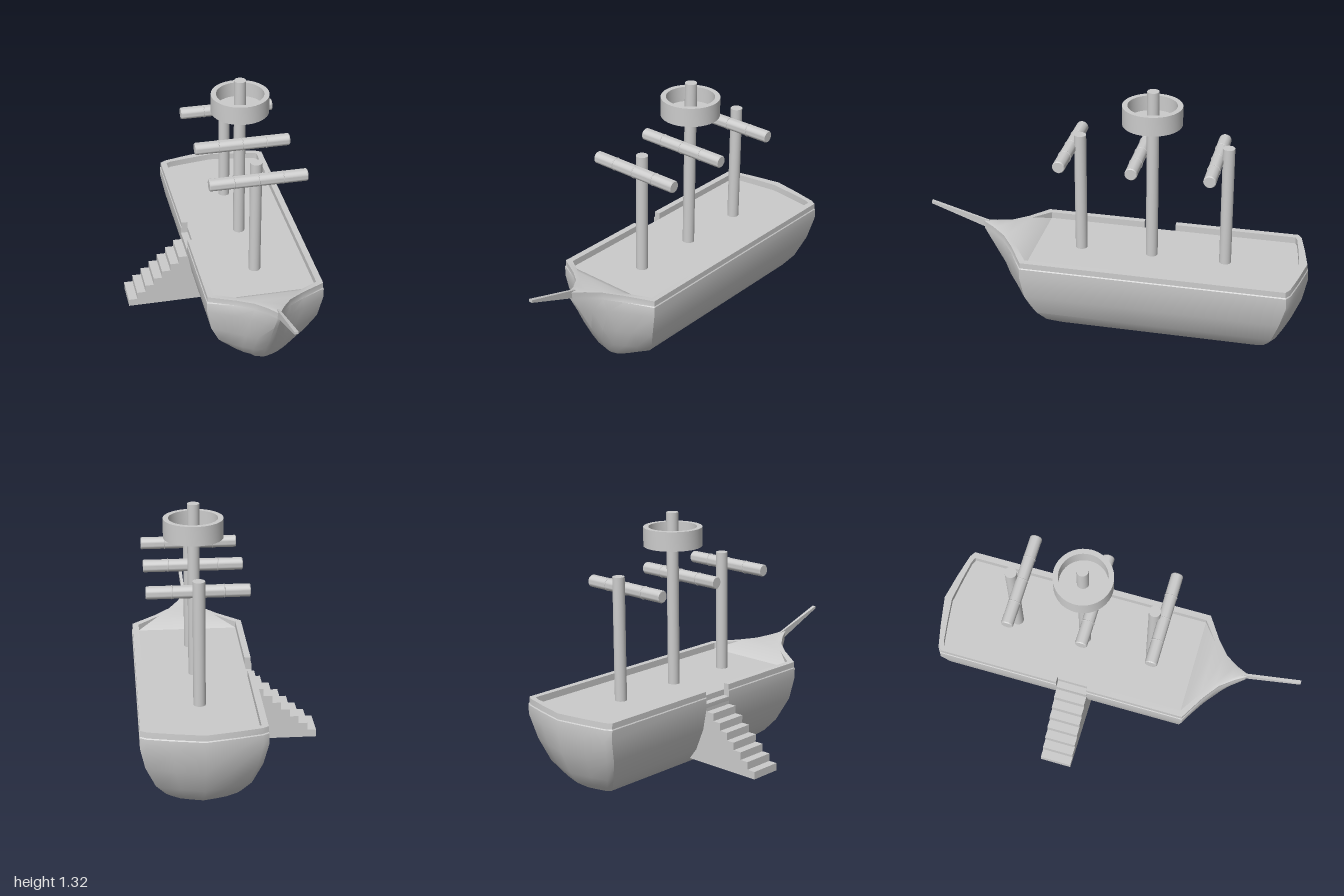
import * as THREE from 'three';
import { toCreasedNormals } from 'three/addons/utils/BufferGeometryUtils.js';

const material = new THREE.MeshStandardMaterial({ color: 0xcccccc });
const CX = 0.163;                // centre line of the ship
const RAIL = 0.44;
const DECK = 0.405;
const SILL = 0.375;              // floor of the opening at the stairs
const GAP = [-0.26, -0.09];      // opening in the rail, along z
const mix = THREE.MathUtils.lerp;

function add(parent, name, geometry, x = 0, y = 0, z = 0) {
  const mesh = new THREE.Mesh(geometry, material);
  mesh.name = name;
  mesh.position.set(x, y, z);
  parent.add(mesh);
  return mesh;
}

// Waterlines: y, half width, stern centre z, stern corner z, bow corner z, bow tip z, rise at bow, bow hollowness
const LEVELS = [
  [0, 0.123, -0.81, -0.77, 0.27, 0.44, 0.008, 0],
  [0.045, 0.182, -0.88, -0.81, 0.34, 0.47, 0, 0.1],
  [0.11, 0.232, -0.925, -0.85, 0.38, 0.51, 0, 0.25],
  [0.23, 0.282, -0.975, -0.89, 0.43, 0.59, 0, 0.55],
  [0.35, 0.306, -1.0, -0.923, 0.445, 0.665, 0.015, 0.85],
  [0.405, 0.307, -0.998, -0.92, 0.445, 0.715, 0.05, 1],
  [0.41, 0.303, -0.994, -0.917, 0.442, 0.715, 0.055, 1],
  [RAIL, 0.303, -0.992, -0.915, 0.442, 0.72, 0.06, 1],
  [RAIL, 0.27, -0.95, -0.903, 0.425, 0.70, 0.06, 1],      // inside of rail
  [DECK, 0.27, -0.95, -0.903, 0.425, 0.70, 0.06, 1, true], // edge of deck
];
const STERN = [[0, 1], [0.5, 0.62], [0.9, 0.25], [1, 0]];
const BOW_FULL = [[1, 0], [0.82, 0.4], [0.62, 0.7], [0.38, 0.92], [0.06, 1]];
const BOW_HOLLOW = [[1, 0], [0.57, 0.29], [0.3, 0.52], [0.13, 0.78], [0.025, 1]];

// One side of a waterline, stern to bow
function halfLine([y, w, sternZ, sternCornerZ, bowCornerZ, tipZ, rise, hollow, isDeck], side) {
  const stern = STERN.map(([fx, fz]) => [fx * w, y, mix(sternCornerZ, sternZ, fz)]);
  const low = side < 0 && !isDeck ? Math.min(y, SILL) : y;
  const waist = [[w, y, GAP[0]], [w, low, GAP[0]], [w, low, GAP[1]], [w, y, GAP[1]]];
  const bow = BOW_FULL.map(([fx, fz], i) => {
    const f = mix(fz, BOW_HOLLOW[i][1], hollow);
    // the foredeck climbs until it is flush with the rail
    const flush = isDeck ? (RAIL - DECK) * Math.min(1, f / 0.29) : 0;
    return [w * mix(fx, BOW_HOLLOW[i][0], hollow), y + rise * f + flush, mix(bowCornerZ, tipZ, f)];
  });
  return [...stern, ...waist, ...bow].map(([x, py, z]) => [CX + side * x, py, z]);
}

function hullGeometry() {
  const loops = LEVELS.map(l => [...halfLine(l, 1), ...halfLine(l, -1).reverse()]);
  const n = loops[0].length, index = [];
  const quad = (a, b, c, d) => index.push(a, b, c, c, b, d);
  for (let j = 0; j < loops.length - 1; j++) {
    for (let i = 0; i < n; i++) {
      const k = (i + 1) % n;
      quad(j * n + i, (j + 1) * n + i, j * n + k, (j + 1) * n + k);
    }
  }
  // keel plate and deck join the two sides
  const top = (loops.length - 1) * n;
  for (let i = 0; i < n / 2 - 1; i++) {
    const l = n - 1 - i;
    quad(l, i, l - 1, i + 1);
    quad(top + i, top + l, top + i + 1, top + l - 1);
  }
  const g = new THREE.BufferGeometry();
  g.setAttribute('position', new THREE.Float32BufferAttribute(loops.flat(2), 3));
  g.setIndex(index);
  return toCreasedNormals(g, 0.55);
}

// Tapering spar reaching forward from the bow
function bowspritGeometry() {
  const g = new THREE.BoxGeometry(1, 1, 1);
  const p = g.attributes.position;
  for (let i = 0; i < p.count; i++) {
    const t = p.getZ(i) + 0.5, x = p.getX(i), y = p.getY(i);
    p.setXYZ(i, mix(0.163, 0.173, t) + x * mix(0.012, 0.02, t),
      mix(0.478, 0.585, t) + y * mix(0.046, 0.014, t), mix(0.69, 1, t));
  }
  g.computeVertexNormals();
  return g;
}

function stairsGeometry() {
  const shape = new THREE.Shape();
  const run = 0.0467;
  shape.moveTo(-0.47, 0.05);
  for (let i = 0; i < 8; i++) {
    const x = -0.47 + i * run, y = 0.09 + i * 0.0406;
    shape.lineTo(x, y);
    shape.lineTo(x + run, y);
  }
  shape.lineTo(0, 0.374);
  shape.lineTo(0, 0.05);
  return new THREE.ExtrudeGeometry(shape, { depth: GAP[1] - GAP[0], bevelEnabled: false });
}

function turned(profile, segments) {
  const points = profile.map(([x, y]) => new THREE.Vector2(x, y));
  return toCreasedNormals(new THREE.LatheGeometry(points, segments), 0.6);
}

export function createModel() {
  const ship = new THREE.Group();
  ship.name = 'sailingShip';

  add(ship, 'hull', hullGeometry());
  add(ship, 'bowsprit', bowspritGeometry());
  add(ship, 'boardingStairs', stairsGeometry(), 0, 0, GAP[0]);

  // masts with a yard in front of each: name, mast z, top, yard z
  const masts = [['fore', 0.19, 1.05, 0.24], ['main', -0.185, 1.32, -0.125], ['aft', -0.57, 1.05, -0.515]];
  const sparProfile = [[0, -0.253], [0.028, -0.253], [0.032, -0.248], [0.032, 0.248], [0.028, 0.253], [0, 0.253]];
  for (const [name, z, top, yardZ] of masts) {
    const foot = DECK - 0.02;
    add(ship, name + 'Mast', new THREE.CylinderGeometry(0.031, 0.031, top - foot, 24), CX, (top + foot) / 2, z);

    const yard = new THREE.Group();
    yard.name = name + 'Yard';
    yard.position.set(CX, 0.978, yardZ);
    ship.add(yard);
    add(yard, 'spar', turned(sparProfile, 24).rotateZ(Math.PI / 2));
    for (const x of [-0.127, 0, 0.127]) {
      add(yard, 'ropeRing', new THREE.TorusGeometry(0.032, 0.0025, 8, 24).rotateY(Math.PI / 2), x);
    }
  }

  const nestProfile = [[0, 1.145], [0.152, 1.145], [0.152, 1.245], [0.125, 1.245], [0.125, 1.165], [0, 1.165]];
  add(ship, 'crowsNest', turned(nestProfile, 40), CX, 0, -0.182);
  return ship;
}
